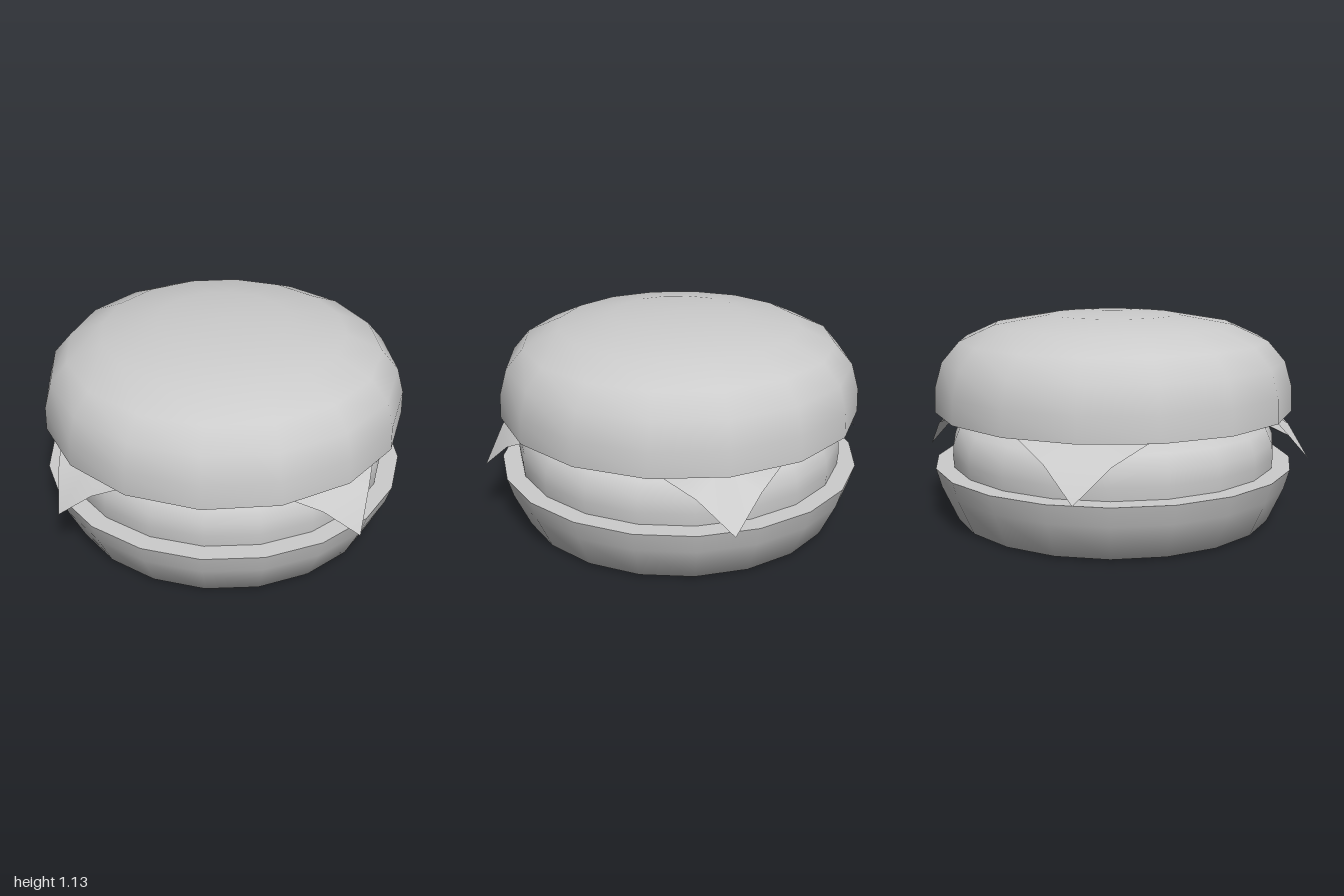
import * as THREE from 'three';
import { toCreasedNormals } from 'three/addons/utils/BufferGeometryUtils.js';

const material = new THREE.MeshStandardMaterial({ color: 0xcccccc });
const sheetMaterial = new THREE.MeshStandardMaterial({ color: 0xcccccc, side: THREE.DoubleSide });

// Round layer: profile of [radius, height] from the bottom centre to the top centre
function layer(name, profile, sides) {
  const points = profile.map(([r, y]) => new THREE.Vector2(r, y));
  const geometry = toCreasedNormals(new THREE.LatheGeometry(points, sides), 1.31);
  const mesh = new THREE.Mesh(geometry, material);
  mesh.name = name;
  return mesh;
}

// Square slice with bowed sides whose corners droop over the patty
function cheeseSlice() {
  const geometry = new THREE.PlaneGeometry(2, 2, 8, 8).rotateX(-Math.PI / 2);
  const p = geometry.attributes.position;
  for (let i = 0; i < p.count; i++) {
    const u = p.getX(i), v = p.getZ(i);
    const x = u * (0.85 - 0.08 * v * v);
    const z = v * (0.85 - 0.08 * u * u);
    const d = Math.max(0, Math.hypot(x, z) - 0.9);
    p.setXYZ(i, x, 0.597 - 0.9 * d - 2.6 * d * d, z);
  }
  geometry.computeVertexNormals();
  const mesh = new THREE.Mesh(geometry, sheetMaterial);
  mesh.name = 'cheese';
  return mesh;
}

export function createModel() {
  const group = new THREE.Group();
  group.name = 'burger';
  group.add(
    layer('bottomBun', [
      [0, 0], [0.53, 0], [0.885, 0.01], [0.97, 0.2], [1, 0.305], [0, 0.305],
    ], 20),
    layer('patty', [
      [0, 0.3], [0.9, 0.3], [0.906, 0.37], [0.9, 0.44], [0.865, 0.52], [0.78, 0.57], [0, 0.585],
    ], 20),
    cheeseSlice(),
    layer('topBun', [
      [0, 0.605], [0.8, 0.61], [0.99, 0.6], [0.985, 0.73], [0.945, 0.87], [0.85, 0.98],
      [0.66, 1.065], [0.36, 1.115], [0, 1.13],
    ], 16),
  );
  return group;
}
